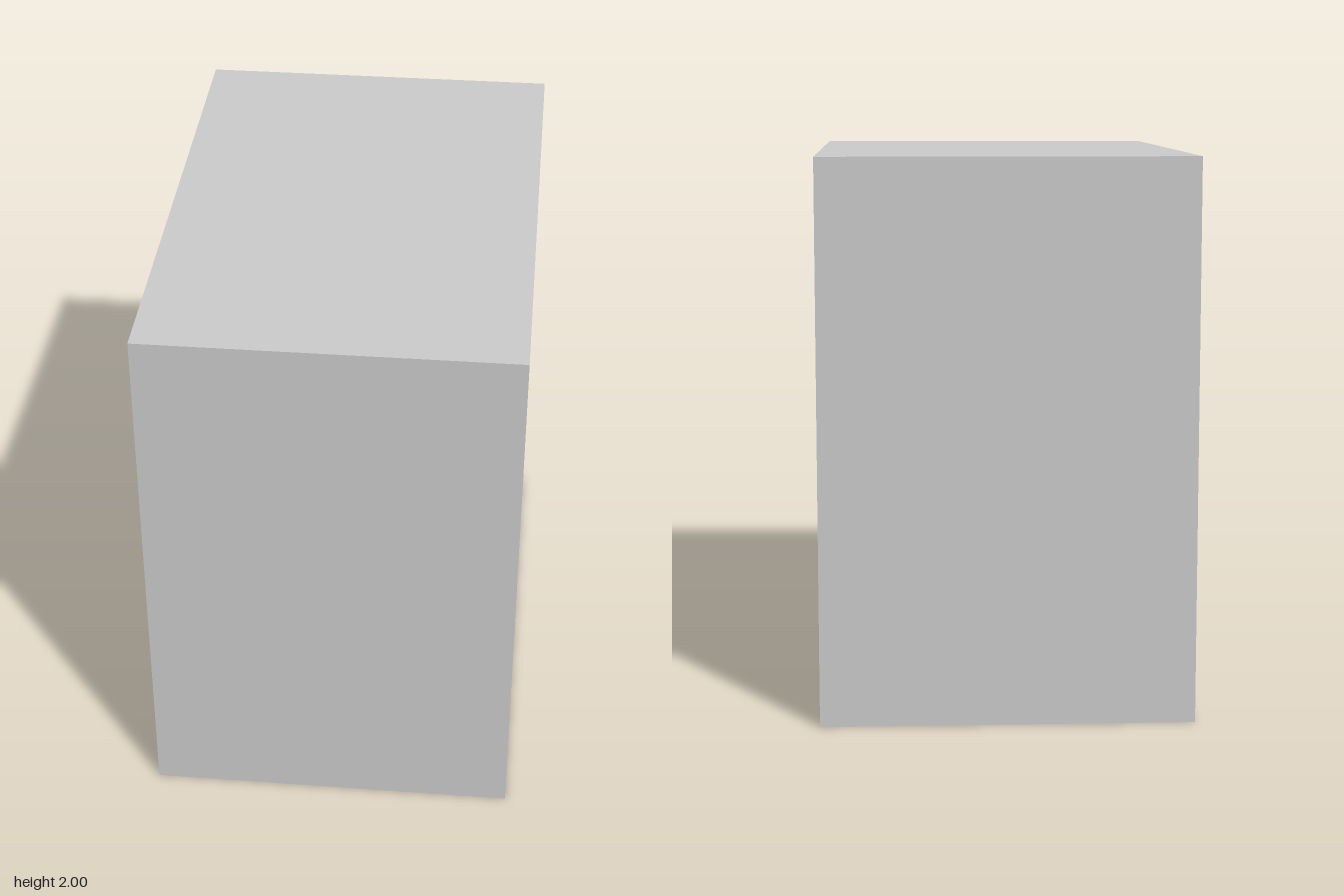
import * as THREE from 'three';

const WIDTH = 1.33;
const HOLE = 0.38;

// Axis-aligned rectangle traced onto a Shape or Path
function rectangle(path, u, v, w, h) {
  path.moveTo(u, v);
  path.lineTo(u + w, v);
  path.lineTo(u + w, v + h);
  path.lineTo(u, v + h);
  path.closePath();
  return path;
}

export function createModel() {
  const group = new THREE.Group();
  group.name = 'piercedBlock';

  // Side profile, drawn as (z, y)
  const profile = rectangle(new THREE.Shape(), -1, 0, 2, 2);

  // Three square tunnels: lower corner of each as [z, y]
  for (const [z, y] of [[-0.19, 1.374], [0.373, 0.373], [-0.815, 0.373]]) {
    profile.holes.push(rectangle(new THREE.Path(), z, y, HOLE, HOLE));
  }

  // Extrude across the width and turn the profile to face the sides
  const geometry = new THREE.ExtrudeGeometry(profile, { depth: WIDTH, bevelEnabled: false });
  geometry.translate(0, 0, -WIDTH / 2);
  geometry.rotateY(-Math.PI / 2);

  const material = new THREE.MeshStandardMaterial({ color: 0xcccccc, flatShading: true });
  const block = new THREE.Mesh(geometry, material);
  block.name = 'blockWithSquareTunnels';
  group.add(block);
  return group;
}
